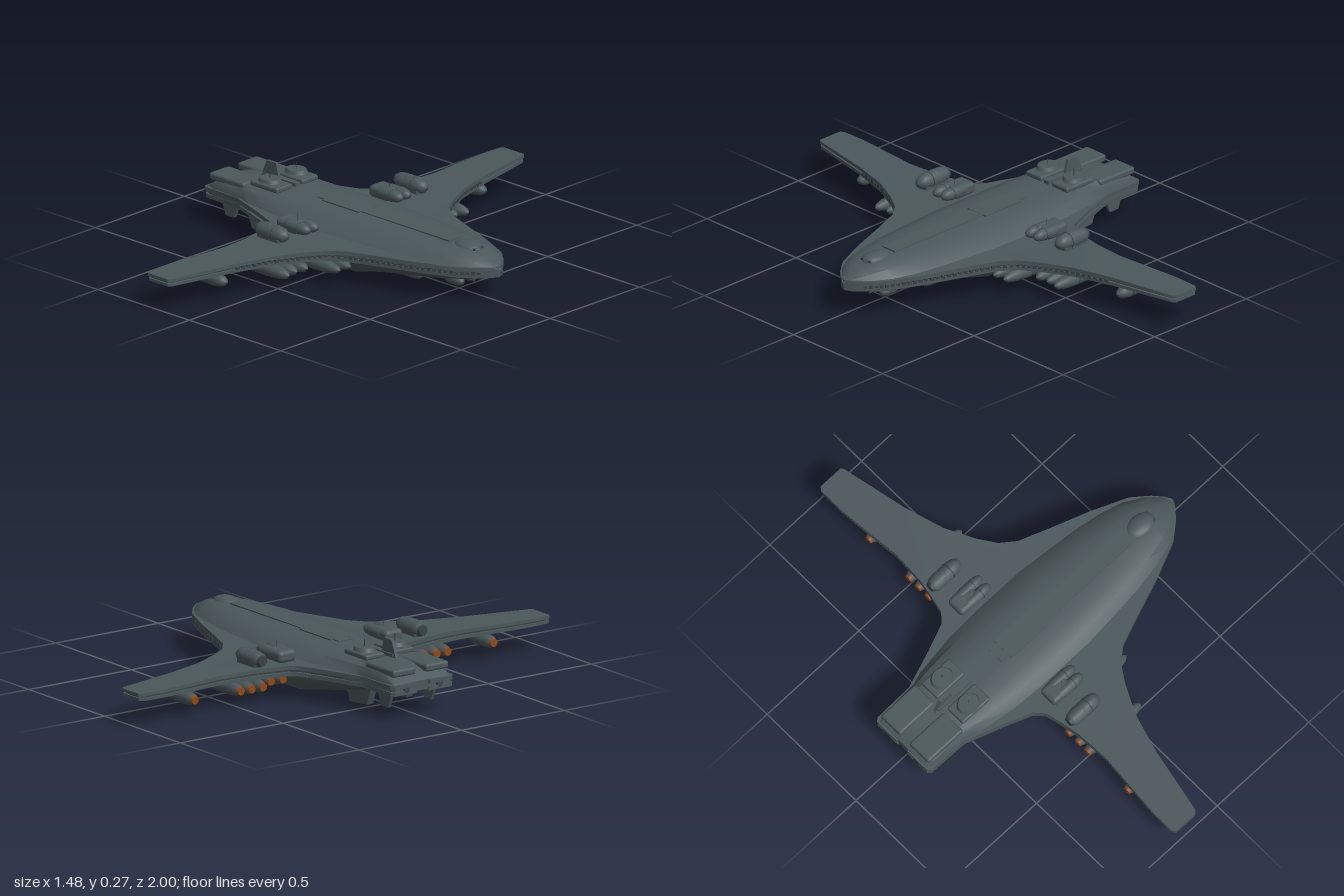
import * as THREE from 'three';
import { toCreasedNormals } from 'three/addons/utils/BufferGeometryUtils.js';
import { RoundedBoxGeometry } from 'three/addons/geometries/RoundedBoxGeometry.js';

const mat = (name, color) => {
  const m = new THREE.MeshStandardMaterial({ color });
  m.name = name;
  return m;
};

export function createModel() {
  const root = new THREE.Group();
  root.name = 'carrierAircraft';
  const slate = mat('slate grey', 0x4b575b);
  const dark = mat('dark grey', 0x394246);
  const rust = mat('exhaust orange', 0x8a4a20);

  const add = (name, geo, m, x = 0, y = 0, z = 0, parent = root) => {
    const mesh = new THREE.Mesh(geo, m);
    mesh.name = name;
    mesh.position.set(x, y, z);
    parent.add(mesh);
    return mesh;
  };
  const box = (name, l, h, w, m, x, y, z) => add(name, new THREE.BoxGeometry(l, h, w), m, x, y, z);
  const rbox = (name, l, h, w, r, x, y, z) => add(name, new RoundedBoxGeometry(l, h, w, 3, r), slate, x, y, z);

  // Plan outline of hull and wings, nose to tail on one side
  const half = [
    [0.725, 0], [0.712, 0.03], [0.677, 0.07], [0.61, 0.125], [0.46, 0.19], [0.30, 0.248], [0.17, 0.298],
    [0.11, 0.345], [0.06, 0.42], [0, 0.54], [-0.05, 0.71], [-0.085, 0.88], [-0.108, 0.99], [-0.118, 1],
    [-0.225, 1], [-0.235, 0.985], [-0.236, 0.88], [-0.222, 0.72], [-0.21, 0.59], [-0.218, 0.45],
    [-0.235, 0.36], [-0.25, 0.295], [-0.285, 0.257], [-0.40, 0.212], [-0.52, 0.17], [-0.56, 0.156],
    [-0.735, 0.152], [-0.75, 0.14], [-0.75, 0.03], [-0.72, 0.02],
  ];
  const outline = [...half, ...half.slice(1).reverse().map(([x, z]) => [x, -z])];

  // Flat plate of the outline; it thins towards the wing tips
  const plate = (name, low, high, inset, m) => {
    const shape = new THREE.Shape(outline.map(([x, z]) => new THREE.Vector2(
      x - inset * Math.sign(x + 0.16), z - inset * Math.sign(z))));
    let geo = new THREE.ExtrudeGeometry(shape, { depth: high - low, bevelEnabled: false });
    geo.rotateX(Math.PI / 2).translate(0, high, 0);
    const p = geo.attributes.position;
    for (let i = 0; i < p.count; i++) {
      const t = Math.max(0, Math.abs(p.getZ(i)) - 0.3) / 0.7;
      p.setY(i, 0.124 + (p.getY(i) - 0.124) * (1 - 0.3 * t));
    }
    add(name, toCreasedNormals(geo, 0.6), m);
  };
  plate('upperWingPlate', 0.129, 0.146, 0, slate);
  plate('wingCore', 0.116, 0.131, 0.01, dark);
  plate('lowerWingPlate', 0.102, 0.118, 0.002, slate);

  // Small equipment blocks in the groove around the rim
  half.slice(2, 10).forEach(([x, z], i) => {
    const [nx, nz] = half[i + 3];
    const n = Math.ceil(Math.hypot(nx - x, nz - z) / 0.026);
    for (let k = 0; k < n; k++) {
      for (const s of [1, -1]) {
        const t = k / n;
        const b = box('rimBlock', 0.015, 0.009 + 0.005 * (k % 2), 0.012, dark,
          x + (nx - x) * t - 0.005, 0.121, s * (z + (nz - z) * t - 0.005));
        b.rotation.y = s * -Math.atan2(nz - z, nx - x);
      }
    }
  });

  // Hull lofted from cross-sections: x, rim half width, top half width, top y, keel half width, keel y
  const sections = [
    [-0.742, 0.135, 0.12, 0.148, 0.11, 0.108], [-0.70, 0.148, 0.125, 0.18, 0.11, 0.094],
    [-0.64, 0.15, 0.122, 0.196, 0.11, 0.089], [-0.54, 0.155, 0.115, 0.2, 0.11, 0.086],
    [-0.48, 0.175, 0.11, 0.2, 0.12, 0.068], [-0.30, 0.2, 0.105, 0.199, 0.135, 0.034],
    [-0.14, 0.205, 0.105, 0.198, 0.148, 0.003], [0.08, 0.205, 0.1, 0.198, 0.146, 0.0],
    [0.20, 0.195, 0.095, 0.197, 0.12, 0.022], [0.36, 0.18, 0.085, 0.197, 0.095, 0.04],
    [0.48, 0.16, 0.07, 0.196, 0.075, 0.055], [0.58, 0.13, 0.056, 0.194, 0.055, 0.072],
    [0.65, 0.09, 0.035, 0.178, 0.035, 0.09], [0.70, 0.042, 0.016, 0.155, 0.015, 0.11],
    [0.725, 0.012, 0.005, 0.138, 0.005, 0.125],
  ];
  const ringOf = ([x, w, tw, ty, kw, ky]) => {
    const side = [
      [kw, ky], [kw + (w - kw) * 0.72, ky + (0.106 - ky) * 0.5], [w, 0.106], [w, 0.142],
      [tw + (w - tw) * 0.55, 0.142 + (ty - 0.142) * 0.66], [tw, ty - 0.002], [tw * 0.35, ty],
    ];
    return [...side, ...side.slice().reverse().map(([z, y]) => [-z, y])].map(([z, y]) => [x, y, z]);
  };
  const rings = sections.map(ringOf);
  const N = rings[0].length, tri = [];
  for (let i = 0; i < rings.length - 1; i++) {
    for (let j = 0; j < N; j++) {
      const k = (j + 1) % N;
      const [a, b, c, d] = [rings[i][j], rings[i][k], rings[i + 1][j], rings[i + 1][k]];
      tri.push(...a, ...c, ...b, ...c, ...d, ...b);
    }
  }
  for (let j = 0; j < N; j++) {
    const k = (j + 1) % N, e = rings.length - 1;
    tri.push(-0.742, 0.128, 0, ...rings[0][j], ...rings[0][k]);
    tri.push(0.73, 0.132, 0, ...rings[e][k], ...rings[e][j]);
  }
  const hull = new THREE.BufferGeometry();
  hull.setAttribute('position', new THREE.Float32BufferAttribute(tri, 3));
  add('hull', toCreasedNormals(hull, 0.45), slate);

  // Spine panels and cockpit hump
  box('spine', 0.72, 0.008, 0.07, slate, 0.12, 0.198, 0);
  box('rearSpine', 0.2, 0.008, 0.1, slate, -0.1, 0.199, 0);
  const hump = add('cockpitHump', new THREE.SphereGeometry(1, 20, 12), slate, 0.55, 0.187, 0);
  hump.scale.set(0.065, 0.024, 0.045);
  box('cockpitWindow', 0.012, 0.008, 0.05, dark, 0.603, 0.192, 0);

  // Streamlined pod lying along x
  const pod = (name, x0, x1, r, y, z, tail = rust) => {
    const L = x1 - x0;
    const profile = [[0.72, 0], [0.9, 0.06], [1, 0.2], [1, 0.68], [0.86, 0.84], [0.55, 0.95], [0, 1]]
      .map(([a, t]) => new THREE.Vector2(a * r, t * L));
    add(name, new THREE.LatheGeometry(profile, 16).rotateZ(-Math.PI / 2), slate, x0, y, z);
    add(name + 'Nozzle', new THREE.CylinderGeometry(r * 0.72, r * 0.6, 0.012, 16).rotateZ(-Math.PI / 2),
      tail, x0 - 0.004, y, z);
    const band = new THREE.TorusGeometry(r, r * 0.07, 6, 16).rotateY(Math.PI / 2);
    add(name + 'Band', band, dark, x0 + L * 0.6, y, z);
  };

  for (const s of [1, -1]) {
    // Pods beneath the wings
    const under = [[0.262, -0.17, 0.165], [0.32, -0.17, 0.165], [0.395, -0.22, 0.06],
      [0.45, -0.22, 0.055], [0.503, -0.22, 0.065], [0.727, -0.22, -0.06]];
    for (const [z, x0, x1] of under) {
      pod('underwingPod', x0, x1, 0.027, 0.07, s * z);
      box('pylon', (x1 - x0) * 0.5, 0.024, 0.014, slate, x0 + (x1 - x0) * 0.45, 0.1, s * z);
    }

    // Engines above the wings
    rbox('innerEngine', 0.11, 0.05, 0.085, 0.018, -0.155, 0.168, s * 0.26);
    for (const dz of [-0.022, 0.022]) pod('innerIntake', -0.17, -0.04, 0.024, 0.172, s * 0.26 + dz, dark);
    pod('outerEngine', -0.21, -0.055, 0.033, 0.172, s * 0.39, dark);
    rbox('outerEngineBase', 0.12, 0.025, 0.055, 0.008, -0.14, 0.152, s * 0.39);
    const cap = add('engineCap', new THREE.SphereGeometry(0.02, 14, 8), slate, -0.15, 0.196, s * 0.39);
    cap.scale.y = 0.5;
    add('engineAerial', new THREE.CylinderGeometry(0.0015, 0.0015, 0.03, 6), dark, -0.13, 0.205, s * 0.26);

    // Rear deck housings
    rbox('deckHousing', 0.15, 0.022, 0.09, 0.008, -0.455, 0.207, s * 0.072);
    const dish = add('deckTurret', new THREE.CylinderGeometry(0.036, 0.042, 0.014, 20), slate, -0.46, 0.228, s * 0.074);
    dish.scale.x = 1.2;
    add('deckAerial', new THREE.CylinderGeometry(0.0015, 0.0015, 0.04, 6), dark, -0.46, 0.245, s * 0.074);

    // Tail blocks and engine outlets
    rbox('tailBlock', 0.19, 0.03, 0.11, 0.01, -0.64, 0.188, s * 0.08);
    add('tailOutlet', new THREE.CylinderGeometry(0.014, 0.014, 0.012, 16).rotateZ(Math.PI / 2), dark, -0.744, 0.124, s * 0.08);

    // Ventral fins at the tail
    const fin = new THREE.Shape([[-0.69, 0.1], [-0.665, 0.036], [-0.62, 0.036], [-0.595, 0.1]]
      .map(([x, y]) => new THREE.Vector2(x, y)));
    add('ventralFin', new THREE.ExtrudeGeometry(fin, { depth: 0.014, bevelEnabled: false }), slate, 0, 0, s * 0.105 - 0.007);
    const skid = new THREE.Shape([[-0.55, 0.09], [-0.525, 0.018], [-0.41, 0.008], [-0.395, 0.06]]
      .map(([x, y]) => new THREE.Vector2(x, y)));
    add('ventralSkid', new THREE.ExtrudeGeometry(skid, { depth: 0.03, bevelEnabled: false }), slate, 0, 0, s * 0.095 - 0.015);

    // Sensor blisters under the nose
    pod('bellyBlister', 0.25, 0.36, 0.02, 0.031, s * 0.06, dark);
    pod('chinBlister', 0.47, 0.56, 0.02, 0.048, s * 0.035, dark);
    const gun = new THREE.CylinderGeometry(0.003, 0.003, 0.07, 6).rotateZ(Math.PI / 2);
    add('chinGun', gun, dark, 0.59, 0.071, s * 0.04);
  }

  // Dorsal fin and mast
  const dorsal = new THREE.Shape([[-0.575, 0.195], [-0.545, 0.268], [-0.495, 0.268], [-0.475, 0.195]]
    .map(([x, y]) => new THREE.Vector2(x, y)));
  add('dorsalFin', new THREE.ExtrudeGeometry(dorsal, { depth: 0.012, bevelEnabled: false }), slate, 0, 0, -0.006);
  box('finRoot', 0.18, 0.018, 0.025, slate, -0.47, 0.205, 0);
  return root;
}
